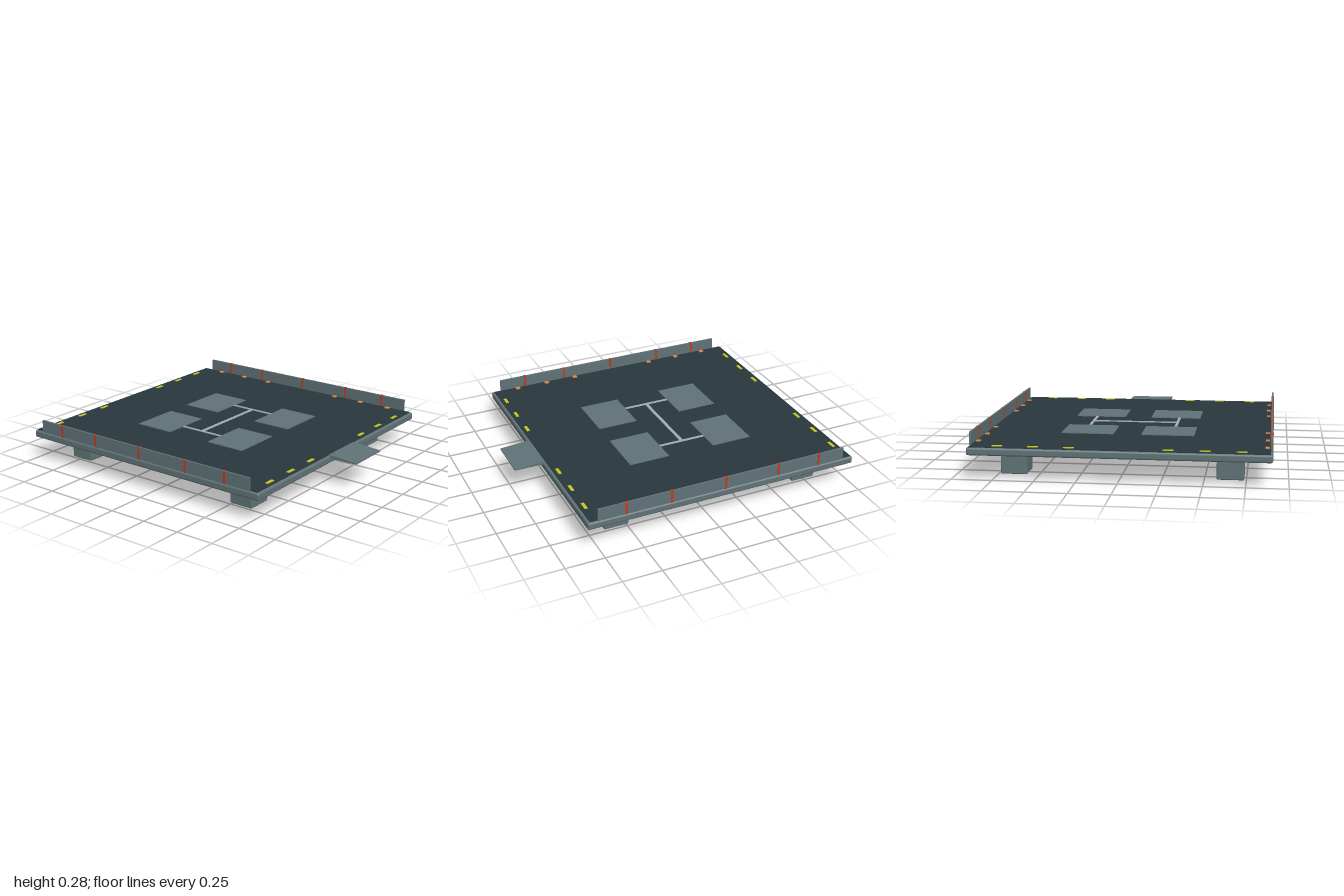
import * as THREE from 'three';
import { RoundedBoxGeometry } from 'three/addons/geometries/RoundedBoxGeometry.js';

const mat = (name, color) => {
  const m = new THREE.MeshStandardMaterial({ color });
  m.name = name;
  return m;
};

export function createModel() {
  const steel = mat('steel', 0x607276);
  const deckDark = mat('deck', 0x28363d);
  const pipeGrey = mat('pipe', 0xa2aeb3);
  const yellow = mat('yellow marking', 0xc4c81e);
  const orange = mat('orange lamp', 0xe08a40);
  const red = mat('red post', 0xc03a1c);

  const group = new THREE.Group();
  const add = (name, geometry, material, x, y, z) => {
    const mesh = new THREE.Mesh(geometry, material);
    mesh.name = name;
    mesh.position.set(x, y, z);
    group.add(mesh);
    return mesh;
  };
  // box given by its size and centre
  const box = (name, material, w, h, d, x, y, z) =>
    add(name, new THREE.BoxGeometry(w, h, d), material, x, y, z);

  // platform: rounded slab with a raised dark deck
  add('slab', new RoundedBoxGeometry(1.81, 0.048, 1.815, 2, 0.012), steel, 0, 0.171, -0.0925);
  box('deck', deckDark, 1.782, 0.012, 1.786, 0, 0.193, -0.095);

  // four feet
  for (const x of [-0.655, 0.655])
    for (const z of [-0.745, 0.565])
      add('foot', new RoundedBoxGeometry(0.164, 0.152, 0.162, 2, 0.008), steel, x, 0.076, z);

  // boarding ramp: a shallow wedge at the front edge
  const profile = new THREE.Shape([
    new THREE.Vector2(-0.8, 0.18), new THREE.Vector2(-0.8, 0.2),
    new THREE.Vector2(-1, 0.187), new THREE.Vector2(-1, 0.18),
  ]);
  const rampGeometry = new THREE.ExtrudeGeometry(profile, { depth: 0.29, bevelEnabled: false });
  rampGeometry.translate(0, 0, -0.145).rotateY(Math.PI / 2);
  add('ramp', rampGeometry, steel, 0, 0, 0);

  // side walls with red posts and lamps along their feet
  for (const side of [-1, 1]) {
    box('sideWall', steel, 0.012, 0.08, 1.675, side * 0.896, 0.236, -0.0875);
    for (const z of [0.57, 0.275, -0.09, -0.455, -0.745])
      box('wallPost', red, 0.018, 0.081, 0.014, side * 0.896, 0.2365, z);
    for (const z of [-0.82, -0.605, -0.385, 0.2, 0.415, 0.63])
      box('edgeLamp', orange, 0.026, 0.006, 0.03, side * 0.871, 0.202, z);

    // yellow dashes near the front and back edges
    for (const x of [0.295, 0.51, 0.725])
      for (const z of [-0.953, 0.766])
        box('edgeMarking', yellow, 0.064, 0.004, 0.02, side * x, 0.201, z);

    // pads made of three strips each
    for (const z of [-0.387, 0.197])
      for (let i = -1; i <= 1; i++)
        box('padStrip', steel, 0.109, 0.005, 0.27, side * 0.252 + i * 0.11, 0.2015, z);

    // pipe joining front and back pads
    box('sidePipe', pipeGrey, 0.017, 0.005, 0.314, side * 0.278, 0.2015, -0.095);
  }
  box('crossPipe', pipeGrey, 0.539, 0.005, 0.021, 0, 0.2015, -0.095);

  return group;
}
